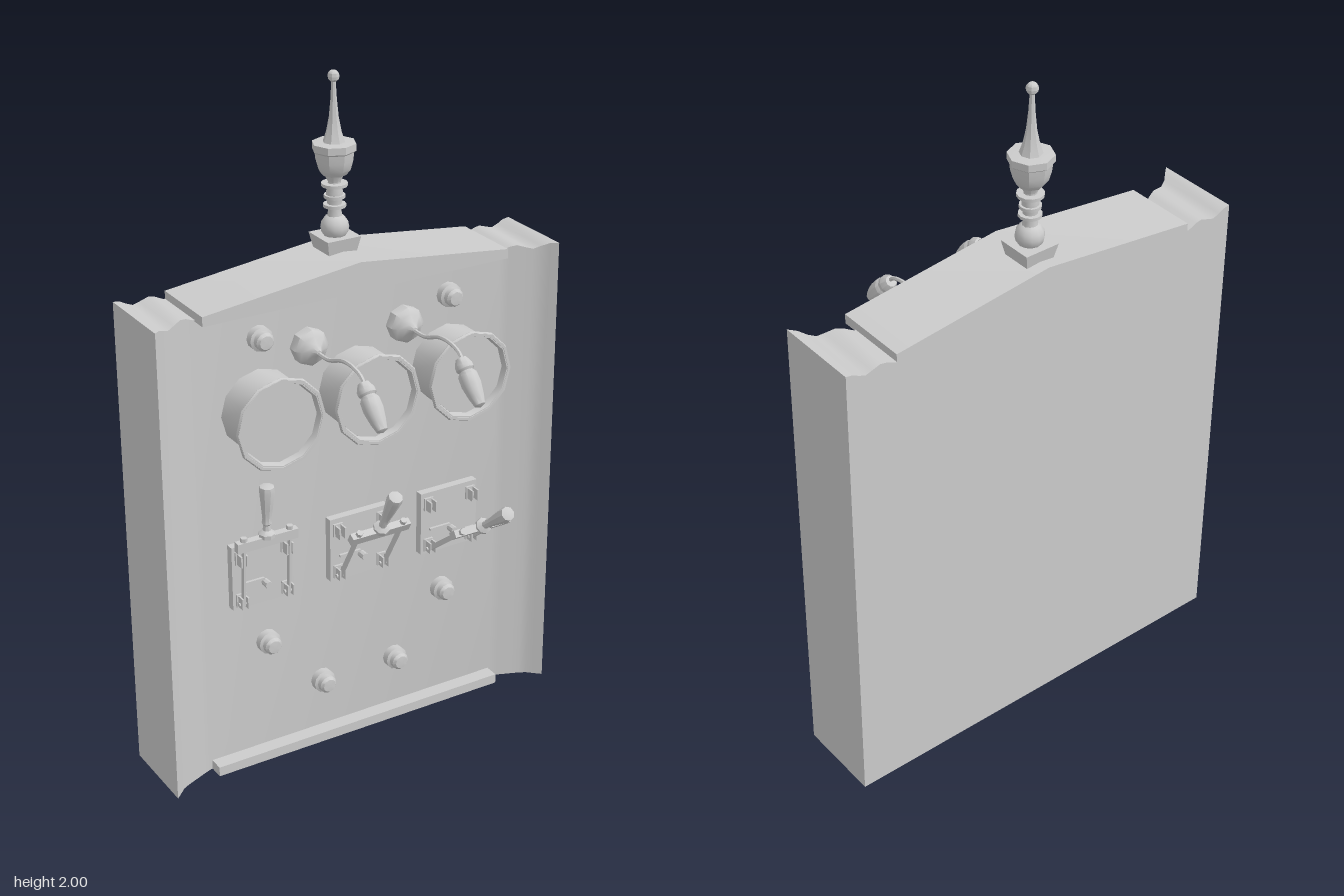
import * as THREE from 'three';
import { toCreasedNormals } from 'three/addons/utils/BufferGeometryUtils.js';

const mat = new THREE.MeshStandardMaterial({ color: 0xcccccc });
const PANEL = -0.115; // front face of the panel
const BACK = -0.29;

function mesh(name, geo, x = 0, y = 0, z = 0) {
  const m = new THREE.Mesh(toCreasedNormals(geo, 0.7), mat);
  m.name = name;
  m.position.set(x, y, z);
  return m;
}
const box = (name, w, h, d, x, y, z) => mesh(name, new THREE.BoxGeometry(w, h, d), x, y, z);
const lathe = (pts, sides) => new THREE.LatheGeometry(pts.map(p => new THREE.Vector2(...p)), sides);
// turned part whose axis points forward
const knob = (pts, sides) => lathe(pts, sides).rotateX(Math.PI / 2);

// cabinet: columns [x, front z, top y] joined side by side
function cabinetGeometry() {
  const half = [
    [0.49, PANEL, 1.42], [0.515, -0.106, 1.432], [0.535, -0.098, 1.436], [0.56, -0.088, 1.428],
    [0.58, -0.08, 1.422], [0.6, -0.07, 1.43], [0.618, -0.053, 1.44], [0.638, -0.035, 1.443],
  ];
  const cols = [...half.map(([x, z, y]) => [-x, z, y]).reverse(), ...half];
  const v = [];
  const quad = (a, b, c, d) => v.push(...a, ...b, ...c, ...a, ...c, ...d);
  const corners = ([x, z, y]) => ({ f0: [x, 0, z], f1: [x, y, z], b0: [x, 0, BACK], b1: [x, y, BACK] });
  for (let i = 0; i < cols.length - 1; i++) {
    const a = corners(cols[i]), b = corners(cols[i + 1]);
    quad(a.f0, b.f0, b.f1, a.f1);
    quad(a.f1, b.f1, b.b1, a.b1);
    quad(b.b0, a.b0, a.b1, b.b1);
    quad(a.b0, b.b0, b.f0, a.f0);
  }
  const l = corners(cols[0]), r = corners(cols[cols.length - 1]);
  quad(l.b0, l.f0, l.f1, l.b1);
  quad(r.f0, r.b0, r.b1, r.f1);
  const g = new THREE.BufferGeometry();
  g.setAttribute('position', new THREE.Float32BufferAttribute(v, 3));
  return g;
}

function pedimentGeometry() {
  const s = new THREE.Shape([[-0.485, 1.415], [0.485, 1.415], [0.485, 1.443], [0, 1.5], [-0.485, 1.443]]
    .map(p => new THREE.Vector2(...p)));
  return new THREE.ExtrudeGeometry(s, { depth: 0.22, bevelEnabled: false }).translate(0, 0, BACK);
}

function finial() {
  const g = new THREE.Group();
  g.name = 'finial';
  const base = new THREE.CylinderGeometry(0.075, 0.062, 0.045, 4).rotateY(Math.PI / 4);
  g.add(mesh('finialBase', base, 0, 1.515, 0));
  g.add(mesh('finialBall', new THREE.SphereGeometry(0.04, 12, 8), 0, 1.56, 0));
  g.add(mesh('finialNeck', lathe([[0.022, 1.59], [0.018, 1.61], [0.022, 1.64], [0.024, 1.66], [0.018, 1.69], [0.03, 1.715]], 10)));
  for (const [y, r] of [[1.622, 0.032], [1.648, 0.03], [1.682, 0.037]])
    g.add(mesh('finialRing', new THREE.CylinderGeometry(r, r, 0.009, 12), 0, y, 0));
  g.add(mesh('finialCup', lathe([[0, 1.705], [0.034, 1.71], [0.046, 1.725], [0.053, 1.75], [0.056, 1.775],
    [0.062, 1.78], [0.062, 1.8], [0.032, 1.802], [0, 1.802]], 8)));
  g.add(mesh('finialSpire', lathe([[0.032, 1.8], [0.022, 1.83], [0.014, 1.87], [0.009, 1.92], [0.006, 1.975]], 8)));
  g.add(mesh('finialTip', new THREE.SphereGeometry(0.017, 8, 6), 0, 1.983, 0));
  g.position.z = -0.21;
  return g;
}

function gauge(x) {
  const g = new THREE.Group();
  g.name = 'gauge';
  // body with a recessed dial
  g.add(mesh('gaugeBody', knob([[0.117, PANEL], [0.117, 0], [0.135, 0.004], [0.135, 0.016], [0.122, 0.016], [0.118, -0.004], [0, -0.004]], 12)));
  g.add(mesh('gaugeRim', new THREE.TorusGeometry(0.13, 0.008, 6, 12).rotateZ(Math.PI / 2), 0, 0, 0.01));
  g.position.set(x, 1.12, 0);
  return g;
}

function lamp(x) {
  const g = new THREE.Group();
  g.name = 'lamp';
  g.add(mesh('lampMount', knob([[0.053, 0], [0.053, 0.03], [0.04, 0.045], [0.018, 0.056], [0.007, 0.07], [0, 0.07]], 8), 0, 1.275, PANEL));
  const path = new THREE.CatmullRomCurve3([[1.272, -0.06], [1.272, 0], [1.28, 0.03], [1.298, 0.08], [1.3, 0.13], [1.288, 0.175], [1.268, 0.195]]
    .map(([y, z]) => new THREE.Vector3(0, y, z)));
  g.add(mesh('lampArm', new THREE.TubeGeometry(path, 20, 0.006, 6)));
  const shade = mesh('lampShade', lathe([[0, -0.01], [0.016, -0.008], [0.026, 0.012], [0.026, 0.024], [0.02, 0.03], [0.028, 0.042],
    [0.029, 0.07], [0.023, 0.105], [0.016, 0.13], [0, 0.137]], 10), 0, 1.268, 0.19);
  shade.rotation.x = 2.38;
  g.add(shade);
  g.position.x = x;
  return g;
}

// knife switch: plate with clips and a hinged lever
function knifeSwitch(x, tilt) {
  const g = new THREE.Group();
  g.name = 'knifeSwitch';
  g.add(box('switchPlate', 0.195, 0.2, 0.03, 0, 0.625, PANEL + 0.01));
  for (const sx of [-0.073, 0.073]) {
    for (const y of [0.555, 0.69]) {
      for (const dx of [-0.009, 0.009]) g.add(box('clip', 0.005, 0.034, 0.035, sx + dx, y, -0.075));
      g.add(box('clipFoot', 0.03, 0.04, 0.008, sx, y, -0.087));
    }
  }
  // small side contact
  g.add(box('contactBar', 0.07, 0.007, 0.008, -0.035, 0.605, -0.084));
  g.add(mesh('contactPost', new THREE.CylinderGeometry(0.011, 0.011, 0.03, 8).rotateX(Math.PI / 2), 0.005, 0.59, -0.078));

  const lever = new THREE.Group();
  lever.name = 'lever';
  for (const sx of [-0.073, 0.073]) {
    lever.add(box('blade', 0.006, 0.19, 0.014, sx, 0.09, 0));
    lever.add(mesh('hingePin', new THREE.CylinderGeometry(0.006, 0.006, 0.032, 8).rotateZ(Math.PI / 2), sx, 0, 0));
    lever.add(mesh('barBolt', new THREE.CylinderGeometry(0.01, 0.01, 0.012, 6), sx, 0.21, 0));
  }
  lever.add(box('crossBar', 0.192, 0.03, 0.022, 0, 0.189, 0));
  lever.add(mesh('handle', lathe([[0.024, 0.2], [0.024, 0.212], [0.012, 0.222], [0.01, 0.238], [0.015, 0.244], [0.013, 0.256],
    [0.017, 0.29], [0.023, 0.345], [0.021, 0.36], [0, 0.366]], 8)));
  lever.position.set(0, 0.55, -0.072);
  lever.rotation.x = THREE.MathUtils.degToRad(tilt);
  g.add(lever);
  g.position.x = x;
  return g;
}

export function createModel() {
  const model = new THREE.Group();
  model.name = 'controlPanel';
  model.add(mesh('cabinet', cabinetGeometry()));
  model.add(mesh('pediment', pedimentGeometry()));
  model.add(box('bottomRail', 0.97, 0.03, 0.05, 0, 0.015, -0.095));
  model.add(finial());
  for (const x of [-0.3, 0.005, 0.31]) model.add(gauge(x));
  for (const x of [-0.148, 0.16]) model.add(lamp(x));
  for (const [x, tilt] of [[-0.315, 3], [0.003, 30], [0.312, 52]]) model.add(knifeSwitch(x, tilt));

  // round studs
  const stud = knob([[0.035, 0], [0.035, 0.022], [0.027, 0.026], [0.027, 0.042], [0.02, 0.05], [0, 0.052]], 12);
  const spots = [[-0.298, 1.33], [0.31, 1.33], [-0.295, 1.003], [0.008, 1.003], [0.308, 1.003],
    [-0.295, 0.38], [0.3, 0.38], [-0.115, 0.19], [0.135, 0.19]];
  for (const [x, y] of spots) model.add(mesh('stud', stud, x, y, PANEL));
  return model;
}
